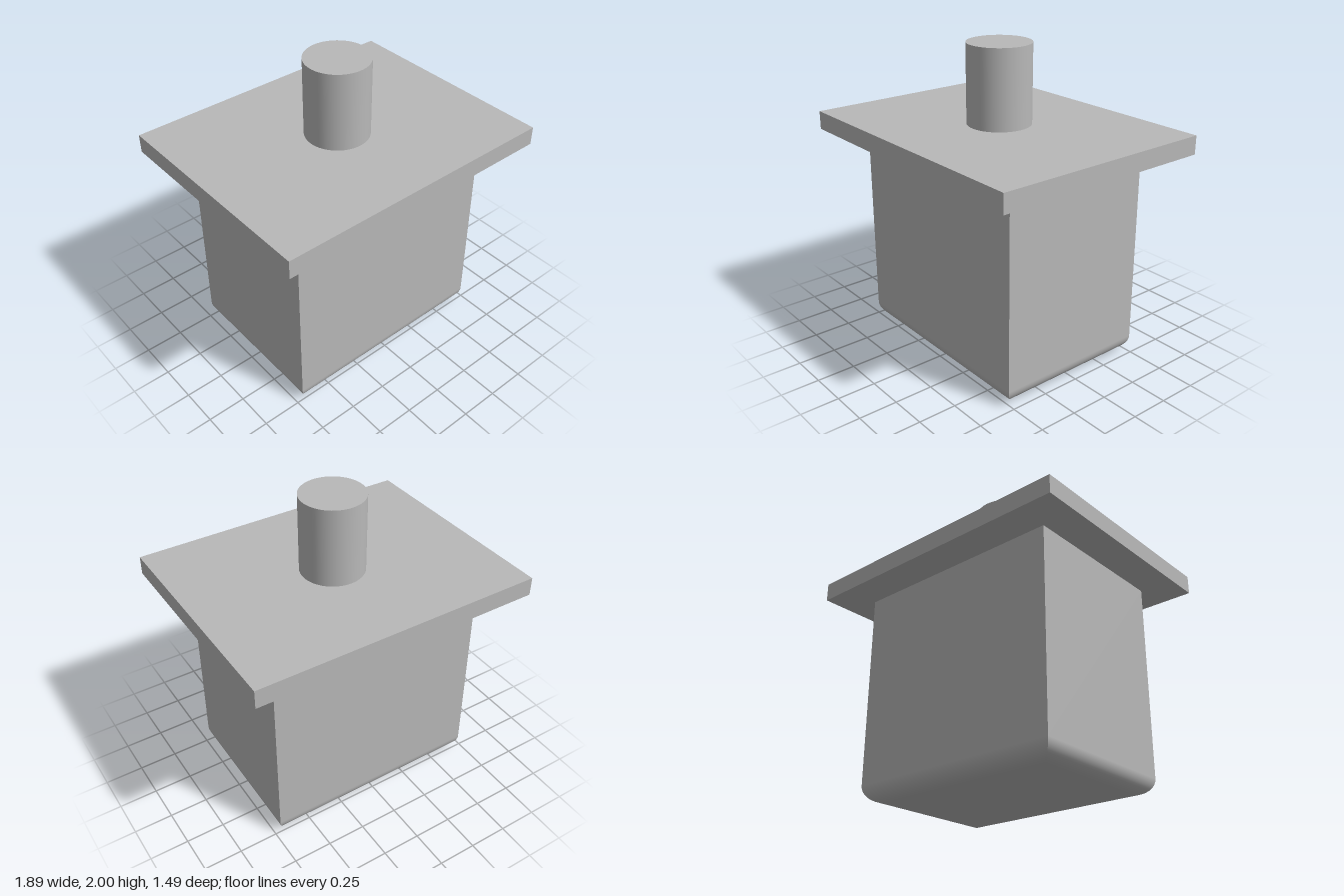
import * as THREE from 'three';

const BODY = { x: 0.72, z: 0.515, top: 1.37, fillet: 0.105 };

// One wall of the body, curving under at the foot and mitred at its ends.
function wallGeometry(nx, nz) {
  const { x, z, top, fillet: r } = BODY;
  const steps = 12;
  const profile = [];
  for (let i = 0; i <= steps; i++) {
    const a = (i / steps) * Math.PI / 2;
    profile.push([r * (1 - Math.sin(a)), r * (1 - Math.cos(a)), Math.sin(a), -Math.cos(a)]);
  }
  profile.push([0, top, 1, 0]);

  const position = [], normal = [], index = [];
  profile.forEach(([inset, y, out, down], i) => {
    for (const s of [-1, 1]) {
      position.push((nx + s * nz) * (x - inset), y, (nz - s * nx) * (z - inset));
      normal.push(nx * out, down, nz * out);
    }
    if (i > 0) {
      const b = 2 * (i - 1);
      index.push(b, b + 1, b + 3, b, b + 3, b + 2);
    }
  });
  const g = new THREE.BufferGeometry();
  g.setAttribute('position', new THREE.Float32BufferAttribute(position, 3));
  g.setAttribute('normal', new THREE.Float32BufferAttribute(normal, 3));
  g.setIndex(index);
  return g;
}

export function createModel() {
  const model = new THREE.Group();
  model.name = 'pluggedBlock';
  const grey = new THREE.MeshStandardMaterial({ color: 0xb8b8b8 });
  grey.name = 'grey';

  const add = (parent, name, geometry, y = 0) => {
    const mesh = new THREE.Mesh(geometry, grey);
    mesh.name = name;
    mesh.position.y = y;
    parent.add(mesh);
  };

  // Body: four walls and a flat underside
  const body = new THREE.Group();
  body.name = 'body';
  model.add(body);
  const walls = { frontWall: [0, 1], leftWall: [1, 0], backWall: [0, -1], rightWall: [-1, 0] };
  for (const [name, [nx, nz]] of Object.entries(walls)) add(body, name, wallGeometry(nx, nz));
  const { x, z, fillet } = BODY;
  add(body, 'underside', new THREE.PlaneGeometry(2 * (x - fillet), 2 * (z - fillet)).rotateX(Math.PI / 2));

  // Overhanging plate and the round post on it
  add(model, 'plate', new THREE.BoxGeometry(1.89, 0.12, 1.486), 1.43);
  add(model, 'post', new THREE.CylinderGeometry(0.205, 0.205, 0.51, 64), 1.745);

  return model;
}
